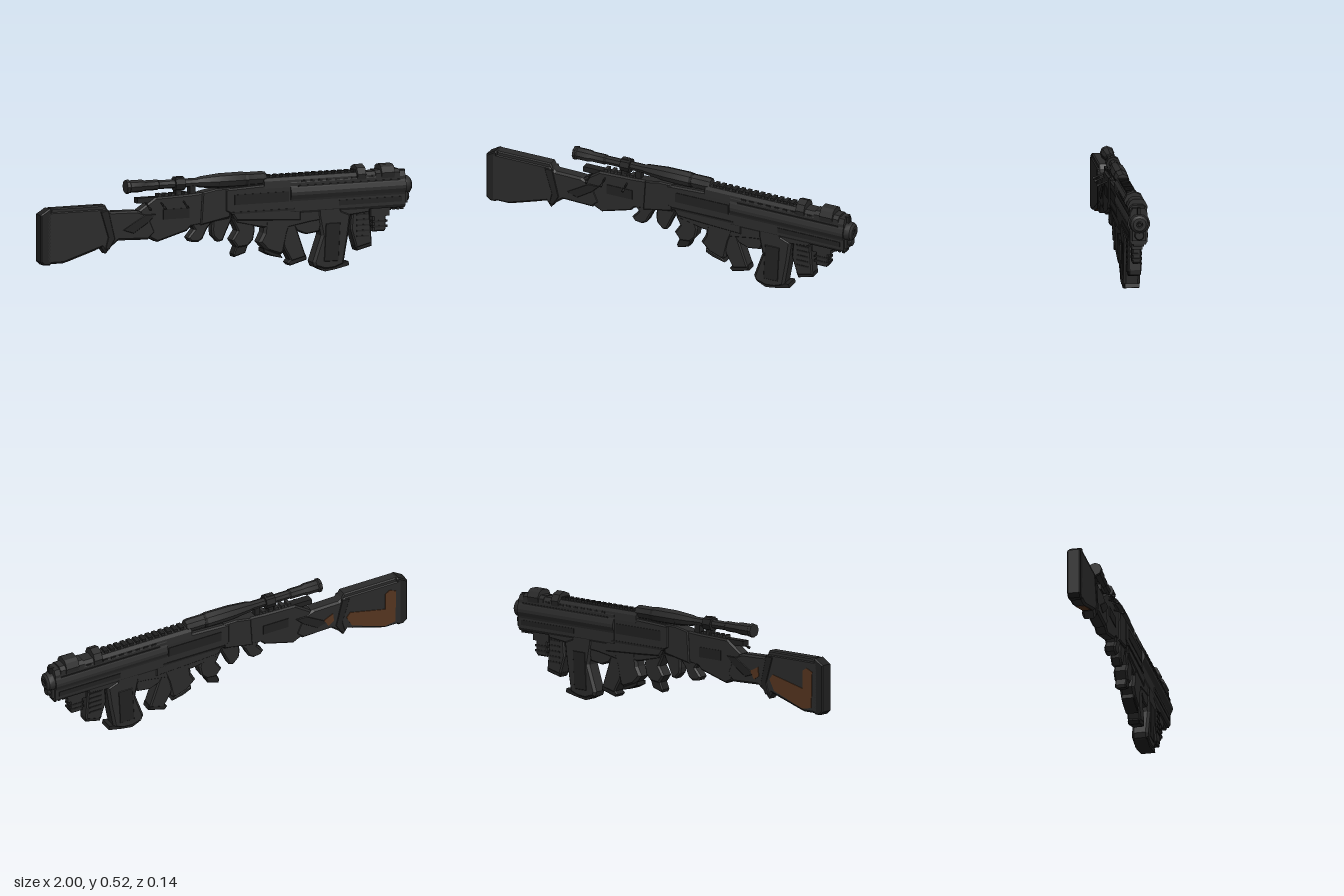
import * as THREE from 'three';
import { toCreasedNormals } from 'three/addons/utils/BufferGeometryUtils.js';

const mat = (name, color) => {
  const m = new THREE.MeshStandardMaterial({ color });
  m.name = name;
  return m;
};

export function createModel() {
  const model = new THREE.Group();
  model.name = 'rifle';
  const metal = mat('charcoal metal', 0x2b2b2b);
  const dark = mat('dark metal', 0x212121);
  const wood = mat('worn brown', 0x56351f);

  const add = (name, geometry, material = metal) => {
    const mesh = new THREE.Mesh(geometry, material);
    mesh.name = name;
    model.add(mesh);
    return mesh;
  };
  const shapeOf = pts => new THREE.Shape(pts.map(p => new THREE.Vector2(...p)));

  // Side outline (x, y) extruded evenly in z, with chamfered rims
  const slab = (name, pts, half, bevel = 0.008, material = metal) => {
    const g = new THREE.ExtrudeGeometry(shapeOf(pts), {
      depth: 2 * (half - bevel), bevelEnabled: bevel > 0, bevelSize: bevel,
      bevelOffset: -bevel, bevelThickness: bevel, bevelSegments: 1,
    });
    return add(name, g.translate(0, 0, -(half - bevel)), material);
  };
  // Half cross-section (z, y) mirrored and extruded along x
  const bar = (name, x0, x1, halfPts, material = metal) => {
    const pts = [...halfPts, ...halfPts.map(([z, y]) => [-z, y]).reverse()];
    const g = new THREE.ExtrudeGeometry(shapeOf(pts), { depth: x1 - x0, bevelEnabled: false });
    return add(name, g.rotateY(Math.PI / 2).translate(x0, 0, 0), material);
  };
  // Turned part along x from (x, radius) pairs
  const turned = (name, pts, y, sides = 8, material = metal) => {
    const g = new THREE.LatheGeometry(pts.map(([x, r]) => new THREE.Vector2(r, x)), sides);
    g.rotateZ(-Math.PI / 2).translate(0, y, 0);
    return add(name, toCreasedNormals(g, 0.6), material);
  };
  const box = (name, x0, x1, y0, y1, half, material = metal) =>
    add(name, new THREE.BoxGeometry(x1 - x0, y1 - y0, 2 * half)
      .translate((x0 + x1) / 2, (y0 + y1) / 2, 0), material);
  // Thin plates on both flanks
  const plates = (name, x0, x1, y0, y1, z, material = dark) => {
    for (const s of [-1, 1]) {
      add(name, new THREE.BoxGeometry(x1 - x0, y1 - y0, 0.006)
        .translate((x0 + x1) / 2, (y0 + y1) / 2, s * z), material);
    }
  };

  // Stock
  slab('stock', [[-0.97, 0.385], [-0.65, 0.385], [-0.62, 0.365], [-0.48, 0.362], [-0.42, 0.34], [-0.38, 0.25],
    [-0.42, 0.215], [-0.58, 0.22], [-0.62, 0.19], [-0.647, 0.158], [-0.67, 0.19], [-0.877, 0.125], [-0.97, 0.125]], 0.033, 0.01);
  slab('buttPad', [[-1, 0.37], [-0.95, 0.4], [-0.94, 0.395], [-0.94, 0.13], [-0.95, 0.12], [-0.98, 0.12], [-1, 0.138]], 0.033, 0.006, dark);
  slab('cheekRest', [[-0.95, 0.37], [-0.94, 0.4], [-0.65, 0.4], [-0.635, 0.37]], 0.028, 0.006);
  slab('stockCollar', [[-0.68, 0.37], [-0.635, 0.375], [-0.6, 0.23], [-0.63, 0.18], [-0.655, 0.18], [-0.64, 0.24]], 0.036, 0.004, dark);
  slab('wristPanel', [[-0.56, 0.27], [-0.44, 0.34], [-0.38, 0.34], [-0.42, 0.3], [-0.5, 0.25]], 0.035, 0.003, dark);

  // Worn patches on the far flank and under the stock
  const patch = (name, pts, z = -0.0345) => slab(name, pts, 0.002, 0, wood).translateZ(z);
  patch('wornStrip', [[-0.935, 0.33], [-0.9, 0.345], [-0.875, 0.33], [-0.875, 0.24], [-0.68, 0.285], [-0.66, 0.26],
    [-0.69, 0.205], [-0.87, 0.14], [-0.93, 0.15]]);
  patch('wornSpot', [[-0.585, 0.31], [-0.535, 0.285], [-0.56, 0.245], [-0.59, 0.265]]);
  slab('wornUnderside', [[-0.86, 0.14], [-0.7, 0.19], [-0.7, 0.179], [-0.86, 0.129]], 0.022, 0, wood);

  // Rear receiver
  slab('rearReceiver', [[-0.47, 0.36], [-0.38, 0.42], [-0.2, 0.425], [0.02, 0.44], [0.02, 0.29], [-0.19, 0.265],
    [-0.21, 0.245], [-0.37, 0.2], [-0.41, 0.22]], 0.03, 0.008);
  box('rearRail', -0.475, -0.36, 0.395, 0.422, 0.02, dark);
  for (let i = 0; i < 5; i++) box('rearRailTooth', -0.36 + i * 0.035, -0.342 + i * 0.035, 0.41, 0.436, 0.02);
  plates('receiverPanel', -0.34, -0.2, 0.31, 0.36, 0.03);
  slab('receiverCollar', [[-0.13, 0.43], [-0.05, 0.445], [0.02, 0.445], [0.02, 0.3], [-0.14, 0.27]], 0.037, 0.006);

  // Selector levers on one flank
  for (const x of [-0.43, -0.35, -0.23]) {
    const arm = add('lever', new THREE.CylinderGeometry(0.004, 0.004, 0.062, 6), dark);
    arm.position.set(x, 0.383, 0.05);
    arm.rotation.x = Math.PI / 2 + 0.42;
    const knob = add('leverKnob', new THREE.CylinderGeometry(0.007, 0.007, 0.012, 8), dark);
    knob.position.set(x, 0.372, 0.074);
    knob.rotation.x = Math.PI / 2 + 0.42;
  }

  // Trigger hooks
  slab('rearHook', [[-0.19, 0.28], [-0.06, 0.3], [-0.1, 0.25], [-0.125, 0.2], [-0.15, 0.185], [-0.19, 0.19],
    [-0.205, 0.21], [-0.17, 0.25]], 0.028, 0.008);
  slab('frontHook', [[-0.07, 0.31], [0.04, 0.34], [0.03, 0.28], [0.005, 0.23], [-0.015, 0.185], [-0.04, 0.18],
    [-0.07, 0.21], [-0.075, 0.24]], 0.026, 0.008);

  // Main receiver
  slab('mainReceiver', [[-0.01, 0.44], [0.22, 0.45], [0.4, 0.45], [0.4, 0.26], [0.2, 0.27], [0.05, 0.28],
    [0.03, 0.31], [-0.01, 0.33]], 0.041, 0.008);
  plates('ejectionCover', 0.04, 0.33, 0.36, 0.41, 0.041);
  plates('sideRib', 0.02, 0.36, 0.315, 0.325, 0.042);
  slab('lowerReceiver', [[0.04, 0.3], [0.78, 0.33], [0.77, 0.28], [0.45, 0.25], [0.33, 0.23], [0.18, 0.24], [0.05, 0.27]], 0.036, 0.006);

  // Handguard with bulged flanks
  bar('handguard', 0.34, 0.96, [[0.03, 0.475], [0.043, 0.45], [0.043, 0.435], [0.048, 0.425], [0.055, 0.405],
    [0.055, 0.39], [0.046, 0.37], [0.043, 0.36], [0.043, 0.31], [0.034, 0.295]]);
  plates('handguardGroove', 0.38, 0.93, 0.43, 0.437, 0.044);
  plates('handguardLowerPanel', 0.6, 0.94, 0.325, 0.35, 0.043);
  bar('topCover', 0.2, 0.86, [[0.028, 0.48], [0.04, 0.465], [0.043, 0.43]]);
  for (let i = 0; i < 14; i++) box('railTooth', 0.235 + i * 0.035, 0.255 + i * 0.035, 0.475, 0.492, 0.022, dark);
  for (let i = 0; i < 9; i++) plates('ventSlot', 0.4 + i * 0.045, 0.425 + i * 0.045, 0.452, 0.46, 0.041);
  for (let i = 0; i < 8; i++) box('lowerTooth', 0.79 + i * 0.022, 0.802 + i * 0.022, 0.283, 0.3, 0.025, dark);

  // Sights
  const hood = [[0.02, 0.51], [0.036, 0.5], [0.05, 0.472], [0.043, 0.445]];
  bar('rearSight', 0.7, 0.745, [[0, 0.517], [0.035, 0.503], [0.05, 0.472], [0.043, 0.445]]);
  bar('frontSightBase', 0.8, 0.93, [[0.025, 0.485], [0.043, 0.47], [0.043, 0.44]]);
  bar('frontSightHood', 0.83, 0.9, hood);
  box('frontPost', 0.95, 0.972, 0.43, 0.478, 0.008, dark);

  // Muzzle and lower tube
  turned('muzzle', [[0.94, 0], [0.94, 0.044], [0.965, 0.048], [0.99, 0.044], [1, 0.032], [1, 0.016], [0.97, 0.014], [0.97, 0]], 0.4, 12);
  turned('muzzleCore', [[0.96, 0], [0.96, 0.009], [0.998, 0.009], [0.998, 0]], 0.4, 8, dark);
  turned('lowerTube', [[0.9, 0], [0.9, 0.024], [0.985, 0.024], [0.99, 0.02], [0.99, 0]], 0.344, 12);
  box('muzzleBlock', 0.94, 0.975, 0.315, 0.42, 0.034);

  // Scope
  turned('scope', [[-0.53, 0], [-0.53, 0.034], [-0.515, 0.036], [-0.51, 0.031], [-0.445, 0.031], [-0.43, 0.026],
    [-0.36, 0.026], [-0.355, 0.022], [-0.15, 0.022], [-0.13, 0.028], [-0.03, 0.037], [0.1, 0.038], [0.11, 0.034],
    [0.2, 0.034], [0.22, 0.03], [0.22, 0]], 0.479, 8);
  for (const [x0, x1] of [[-0.27, -0.22], [-0.04, -0.01], [0.1, 0.12]]) {
    turned('scopeRing', [[x0, 0], [x0, 0.036], [x1, 0.036], [x1, 0]], 0.478, 8, dark);
  }
  for (const [x0, x1] of [[-0.265, -0.235], [-0.19, -0.16], [0.02, 0.2]]) box('scopeMount', x0, x1, 0.415, 0.465, 0.018, dark);
  box('scopeTurret', -0.27, -0.23, 0.48, 0.513, 0.012);

  // Small lower clip
  slab('smallClip', [[0.03, 0.29], [0.14, 0.29], [0.155, 0.23], [0.145, 0.18], [0.115, 0.15], [0.06, 0.145],
    [0.03, 0.185], [0.06, 0.23]], 0.034);
  slab('smallClipFoot', [[0.055, 0.15], [0.12, 0.16], [0.105, 0.118], [0.045, 0.1], [0.04, 0.115]], 0.028, 0.005, dark);

  // Pistol grip with its angled clip
  slab('pistolGrip', [[0.21, 0.29], [0.36, 0.29], [0.33, 0.2], [0.31, 0.11], [0.29, 0.095], [0.22, 0.12],
    [0.175, 0.165], [0.2, 0.21]], 0.037, 0.012);
  slab('gripBase', [[0.2, 0.135], [0.29, 0.1], [0.305, 0.08], [0.24, 0.095], [0.2, 0.115]], 0.032, 0.004, dark);
  slab('angledClip', [[0.28, 0.24], [0.37, 0.25], [0.43, 0.08], [0.35, 0.06], [0.31, 0.13]], 0.033, 0.007);
  slab('angledClipFoot', [[0.345, 0.07], [0.43, 0.09], [0.435, 0.065], [0.345, 0.04], [0.33, 0.055]], 0.03, 0.004, dark);
  slab('clipBridge', [[0.34, 0.27], [0.52, 0.27], [0.5, 0.2], [0.43, 0.19], [0.38, 0.21]], 0.033, 0.006);

  // Large grip and main magazines
  slab('foreGrip', [[0.49, 0.36], [0.6, 0.36], [0.62, 0.3], [0.67, 0.28], [0.655, 0.17], [0.63, 0.03], [0.58, 0.012],
    [0.53, 0.008], [0.475, 0.025], [0.465, 0.05], [0.51, 0.18], [0.49, 0.28]], 0.041, 0.012);
  slab('foreGripInset', [[0.53, 0.24], [0.61, 0.24], [0.6, 0.05], [0.52, 0.05]], 0.043, 0.003, dark);
  slab('foreGripBase', [[0.48, 0.025], [0.53, 0.001], [0.59, 0.01], [0.66, 0.025], [0.655, 0.045], [0.56, 0.03]], 0.035, 0, dark);
  slab('frontMagazine', [[0.68, 0.31], [0.77, 0.31], [0.785, 0.125], [0.7, 0.105], [0.67, 0.2]], 0.033, 0.007);
  slab('frontMagazineFoot', [[0.695, 0.115], [0.785, 0.135], [0.785, 0.112], [0.705, 0.092]], 0.03, 0.004, dark);
  for (let i = 0; i < 5; i++) plates('magazineRib', 0.7, 0.765, 0.16 + i * 0.027, 0.168 + i * 0.027, 0.033);

  // Stub under the muzzle
  box('stubMount', 0.78, 0.88, 0.255, 0.31, 0.026);
  slab('stub', [[0.795, 0.27], [0.865, 0.27], [0.865, 0.19], [0.855, 0.18], [0.795, 0.18]], 0.022, 0.006);
  for (const y of [0.2, 0.225]) box('stubRib', 0.79, 0.87, y, y + 0.01, 0.024, dark);

  model.position.z = -0.012;
  return model;
}
